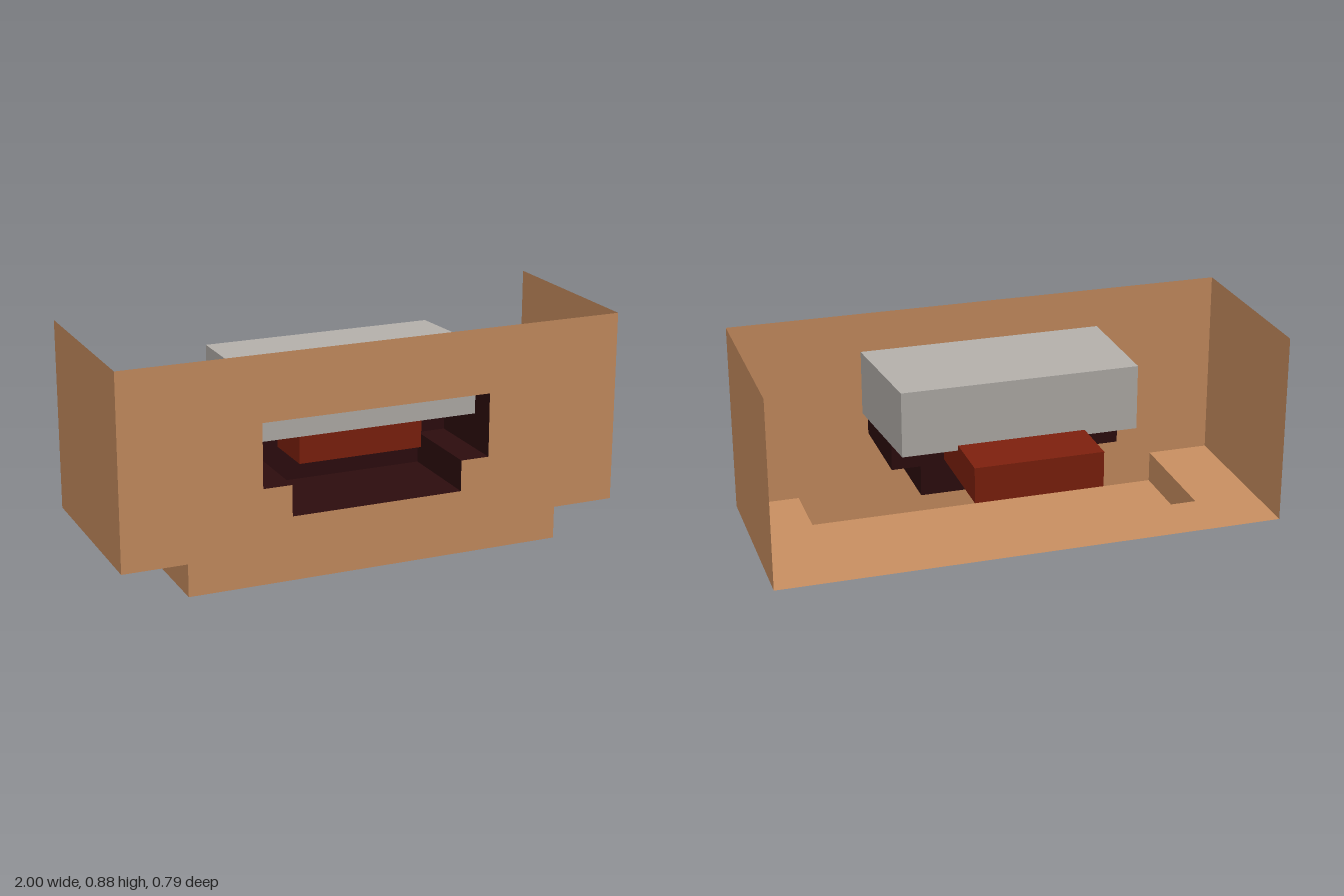
import * as THREE from 'three';
import { mergeGeometries } from 'three/addons/utils/BufferGeometryUtils.js';

const FRONT = 0.397, BACK = -0.355, STEP_BACK = -0.105;
const TOP = 0.877, FLOOR = 0.127;

const material = (name, color, side = THREE.FrontSide) => {
  const m = new THREE.MeshStandardMaterial({ color, side });
  m.name = name;
  return m;
};

// mirror a half outline (+x side, top to bottom) into a closed outline
const mirrored = (half) => [...half, ...half.slice().reverse().map(([x, y]) => [-x, y])];
const toShape = (pts) => new THREE.Shape(pts.map(([x, y]) => new THREE.Vector2(x, y)));

// flat plate standing at depth z, or lying at height y
const standing = (shape, z) => new THREE.ShapeGeometry(shape).translate(0, 0, z);
const lying = (shape, y) => new THREE.ShapeGeometry(shape).rotateX(-Math.PI / 2).translate(0, y, 0);

// open sleeve that follows an outline between two depths
function sleeve(outline, z0, z1) {
  const plates = outline.map(([ax, ay], i) => {
    const [bx, by] = outline[(i + 1) % outline.length];
    return new THREE.PlaneGeometry(Math.hypot(bx - ax, by - ay), z1 - z0)
      .rotateX(-Math.PI / 2)
      .rotateZ(Math.atan2(by - ay, bx - ax))
      .translate((ax + bx) / 2, (ay + by) / 2, (z0 + z1) / 2);
  });
  return mergeGeometries(plates);
}

export function createModel() {
  const model = new THREE.Group();
  const tan = material('tan', 0xc88e60, THREE.DoubleSide);
  const dark = material('dark maroon', 0x2c0c0e, THREE.DoubleSide);
  const red = material('brick red', 0x7d200d);
  const grey = material('warm grey', 0xb3afaa);
  const add = (name, geometry, mat) => {
    const mesh = new THREE.Mesh(geometry, mat);
    mesh.name = name;
    model.add(mesh);
    return mesh;
  };

  // front panel with a stepped opening
  const opening = mirrored([[0.457, 0.622], [0.457, 0.372], [0.343, 0.372], [0.343, 0.25]]);
  const panel = toShape(mirrored([[1, TOP], [1, FLOOR], [0.75, FLOOR], [0.75, 0]]));
  panel.holes.push(toShape(opening));
  add('frontPanel', standing(panel, FRONT), tan);

  // side panels
  for (const [name, s] of [['leftPanel', 1], ['rightPanel', -1]]) {
    add(name, new THREE.PlaneGeometry(FRONT - BACK, TOP - FLOOR)
      .rotateY(s * Math.PI / 2)
      .translate(s, (TOP + FLOOR) / 2, (FRONT + BACK) / 2), tan);
  }

  // floor around the sunken tray (shape y is minus z)
  add('floor', lying(toShape([
    [-1, -FRONT], [-0.75, -FRONT], [-0.75, -STEP_BACK], [0.75, -STEP_BACK],
    [0.75, -FRONT], [1, -FRONT], [1, -BACK], [-1, -BACK],
  ]), FLOOR), tan);

  // sunken tray: bottom, back and two ends
  const trayDepth = FRONT - STEP_BACK, trayMid = (FRONT + STEP_BACK) / 2;
  add('tray', mergeGeometries([
    new THREE.PlaneGeometry(1.5, trayDepth).rotateX(Math.PI / 2).translate(0, 0, trayMid),
    new THREE.PlaneGeometry(1.5, FLOOR).rotateY(Math.PI).translate(0, FLOOR / 2, STEP_BACK),
    ...[1, -1].map((s) => new THREE.PlaneGeometry(trayDepth, FLOOR)
      .rotateY(s * Math.PI / 2).translate(s * 0.75, FLOOR / 2, trayMid)),
  ]), tan);

  // hollow cavity behind the opening
  add('cavity', mergeGeometries([
    sleeve(opening, 0.02, FRONT),
    standing(toShape(opening), 0.02),
  ]), dark);

  // lower block through the back of the cavity
  add('lowerBlock', new THREE.BoxGeometry(0.5, 0.14, 0.637).translate(0, 0.46, -0.0785), red);

  // upper block, its left front edge pushed outwards
  const upper = new THREE.BoxGeometry(0.925, 0.255, 0.46).translate(0.0025, 0.6375, 0.05);
  const p = upper.attributes.position;
  for (let i = 0; i < p.count; i++) if (p.getX(i) > 0 && p.getZ(i) > 0.1) p.setX(i, 0.505);
  upper.computeVertexNormals();
  add('upperBlock', upper, grey);

  return model;
}
